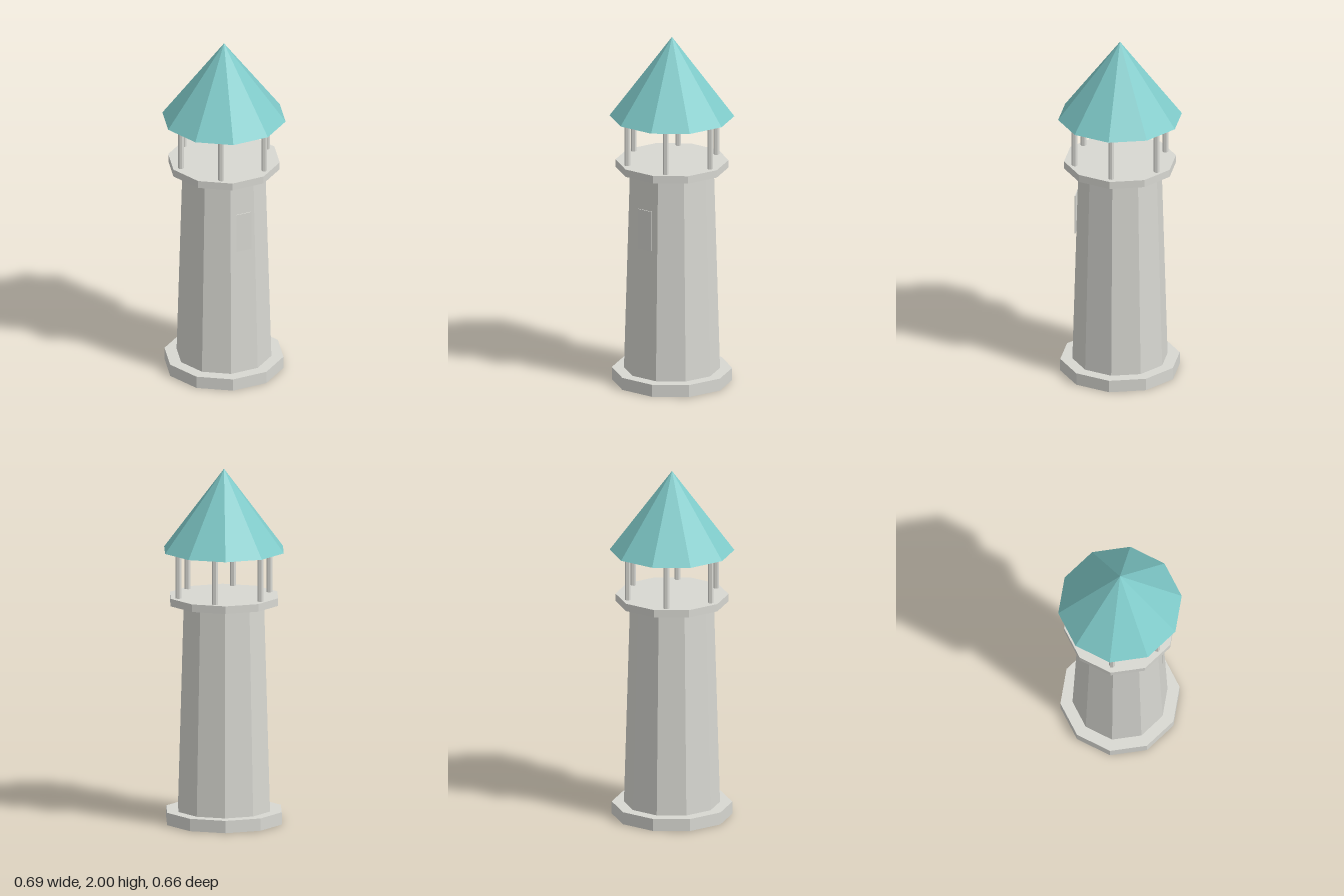
import * as THREE from 'three';

const SIDES = 10;

function material(name, color) {
  const m = new THREE.MeshStandardMaterial({ color, flatShading: true });
  m.name = name;
  return m;
}

export function createModel() {
  const model = new THREE.Group();
  model.name = 'lighthouse';
  const stone = material('pale stone', 0xd8d8d2);
  const teal = material('teal roof', 0x7fcac9);

  function add(name, geometry, mat, x = 0, y = 0, z = 0) {
    const mesh = new THREE.Mesh(geometry, mat);
    mesh.name = name;
    mesh.position.set(x, y, z);
    model.add(mesh);
    return mesh;
  }

  // Ten-sided drum from y0 to y1 with corners on the x axis
  function drum(name, rBottom, rTop, y0, y1, mat) {
    const geometry = new THREE.CylinderGeometry(rTop, rBottom, y1 - y0, SIDES, 1, false, Math.PI / 2);
    return add(name, geometry, mat, 0, (y0 + y1) / 2, 0);
  }

  drum('base', 0.335, 0.335, 0, 0.07, stone);
  drum('tower', 0.267, 0.233, 0.07, 1.24, stone);
  drum('gallery', 0.314, 0.314, 1.24, 1.283, stone);

  // Six posts carrying the roof
  const post = new THREE.CylinderGeometry(0.0165, 0.0165, 0.265, 6);
  for (let i = 0; i < 6; i++) {
    const a = (i * Math.PI) / 3;
    add('post', post, stone, 0.268 * Math.cos(a), 1.411, 0.268 * Math.sin(a));
  }

  // Conical roof with a closed underside
  const roof = new THREE.ConeGeometry(0.347, 0.46, SIDES, 1, false, Math.PI / 2);
  add('roof', roof, teal, 0, 1.77, 0);

  // Window plate standing just off the front wall
  add('window', new THREE.BoxGeometry(0.092, 0.23, 0.005), stone, 0, 0.935, 0.246);

  return model;
}
